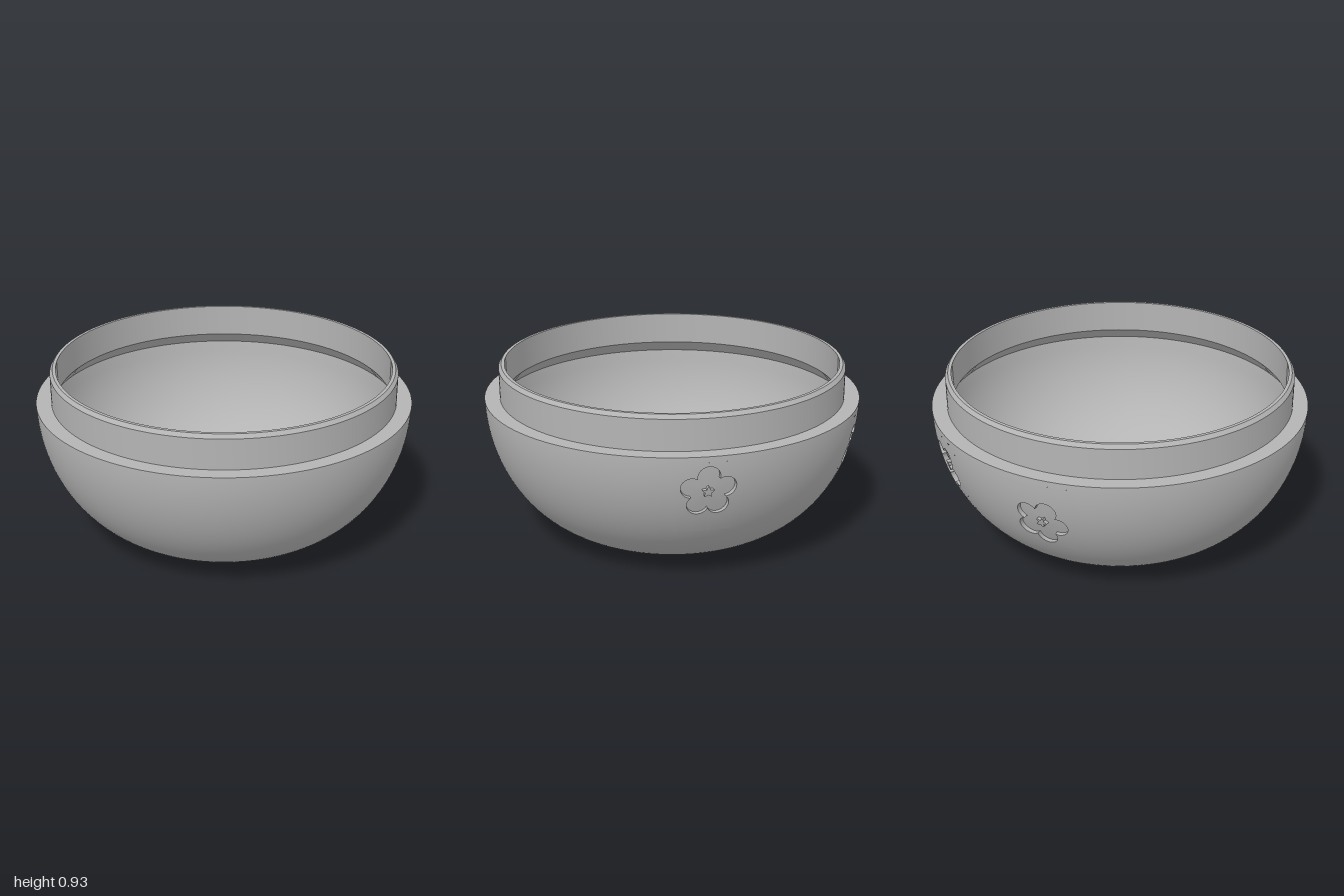
import * as THREE from 'three';
import { mergeGeometries, toCreasedNormals } from 'three/addons/utils/BufferGeometryUtils.js';

const RAD = Math.PI / 180;
const BAND_LOW = 0.32, BAND_HIGH = 0.72, HALF = 10; // engraved band and patch half-width in degrees

// Outer wall radius at a given height
const wallRadius = y => 0.36 + 0.64 * Math.sqrt(Math.max(0, 1 - ((0.75 - y) / 0.75) ** 2));
// Smooth hump: 1 in the middle, 0 at radius w
const hump = (r, w) => (r < w ? 0.5 + 0.5 * Math.cos(Math.PI * r / w) : 0);
const sample = (n, fn) => Array.from({ length: n + 1 }, (_, i) => new THREE.Vector2(...fn(i / n)));

function lathe(points, startDeg = 0, lengthDeg = 360) {
  const g = new THREE.LatheGeometry(points, lengthDeg / 2, startDeg * RAD, lengthDeg * RAD);
  g.deleteAttribute('uv');
  g.deleteAttribute('normal');
  return g;
}

// Five round petals as a polar outline
function petalOutline(phi, rot) {
  const step = 72 * RAD, d = 0.085, rho = 0.054;
  const t = phi - rot;
  const delta = t - Math.round(t / step) * step;
  return d * Math.cos(delta) + Math.sqrt(rho * rho - (d * Math.sin(delta)) ** 2);
}

// Five-pointed star as a polar outline
function starOutline(phi, rot) {
  const step = 72 * RAD, t = phi - rot;
  const delta = Math.abs(t - Math.round(t / step) * step);
  return 0.03 - 0.016 * delta / (step / 2);
}

// Wall patch with a sunken flower, built from rings around the flower centre
function flowerPatch({ deg, y: y0, rot }) {
  const depth = 0.025, r0 = wallRadius(y0), halfW = HALF * RAD * r0;
  const up = BAND_HIGH - y0, down = y0 - BAND_LOW, twoPi = Math.PI * 2;
  const phis = Array.from({ length: 120 }, (_, i) => rot + i * 3 * RAD);
  for (const [a, b] of [[halfW, up], [-halfW, up], [-halfW, -down], [halfW, -down]]) phis.push(Math.atan2(b, a));
  const angles = phis.map(p => ((p % twoPi) + twoPi) % twoPi).sort((a, b) => a - b)
    .filter((p, i, list) => i === 0 || p - list[i - 1] > 1e-5);
  const border = p => {
    const c = Math.cos(p), s = Math.sin(p);
    return Math.min(halfW / Math.max(Math.abs(c), 1e-9), (s > 0 ? up : down) / Math.max(Math.abs(s), 1e-9));
  };
  const star = p => starOutline(p, rot), petal = p => petalOutline(p, rot);
  const mix = (f, g, t) => p => f(p) * (1 - t) + g(p) * t;
  const rings = [
    [() => 0, 0.004], [star, 0.004], [star, depth], [mix(star, petal, 0.5), depth], [petal, depth], [petal, 0],
    ...[0.25, 0.5, 0.75, 1].map(t => [mix(petal, border, t), 0]),
  ];
  const positions = [], index = [], n = angles.length;
  rings.forEach(([outline, sink], i) => angles.forEach((p, j) => {
    const d = outline(p), y = y0 + d * Math.sin(p);
    const theta = deg * RAD + d * Math.cos(p) / r0, r = wallRadius(y) - sink;
    positions.push(r * Math.sin(theta), y, r * Math.cos(theta));
    if (i === rings.length - 1) return;
    const a = i * n + j, b = i * n + (j + 1) % n;
    index.push(a, a + n, b + n, a, b + n, b);
  }));
  const g = new THREE.BufferGeometry();
  g.setAttribute('position', new THREE.Float32BufferAttribute(positions, 3));
  g.setIndex(index);
  return g;
}

export function createModel() {
  const group = new THREE.Group();
  const grey = new THREE.MeshStandardMaterial({ color: 0xb4b4b4 });
  grey.name = 'grey';
  const add = (name, geometry) => {
    const mesh = new THREE.Mesh(geometry, grey);
    mesh.name = name;
    group.add(mesh);
    return mesh;
  };

  // Outer shell: dimpled base, curved lower wall, flower band, top edge
  const lowAngle = Math.acos((0.75 - BAND_LOW) / 0.75);
  const base = sample(16, t => [0.36 * t, 0.075 * hump(0.36 * t, 0.36)]);
  const lower = sample(20, t => [0.36 + 0.64 * Math.sin(lowAngle * t), 0.75 - 0.75 * Math.cos(lowAngle * t)]);
  const band = sample(16, t => {
    const y = BAND_LOW + (BAND_HIGH - BAND_LOW) * t;
    return [wallRadius(y), y];
  });
  const flowers = [
    { deg: 142, y: 0.56, rot: 90 * RAD },
    { deg: 206, y: 0.54, rot: 54 * RAD },
    { deg: 248, y: 0.485, rot: 66 * RAD },
  ];
  const shell = [
    lathe([...base, ...lower.slice(1)]),
    lathe(sample(2, t => [wallRadius(BAND_HIGH + 0.03 * t), BAND_HIGH + 0.03 * t])),
  ];
  flowers.forEach((f, i) => {
    const next = i < 2 ? flowers[i + 1].deg : flowers[0].deg + 360;
    shell.push(flowerPatch(f), lathe(band, f.deg + HALF, next - f.deg - 2 * HALF));
  });
  add('outerShell', toCreasedNormals(mergeGeometries(shell), 0.5));

  // Shoulder ledge and raised collar with a bevelled rim and undercut
  const collar = [[1, 0.75], [0.92, 0.75], [0.92, 0.91], [0.905, 0.93], [0.888, 0.93], [0.888, 0.755], [0.94, 0.69]]
    .map(p => new THREE.Vector2(...p));
  add('collar', toCreasedNormals(lathe(collar), 0.4));

  // Inside of the bowl, with a low crater-topped mound in the middle
  const innerTop = Math.acos(0.06 / 0.69);
  const innerWall = sample(30, t => {
    const a = innerTop * (1 - t);
    return [0.36 + 0.58 * Math.sin(a), 0.75 - 0.69 * Math.cos(a)];
  });
  innerWall[0].set(0.94, 0.69);
  const floor = sample(24, t => {
    const r = 0.36 * (1 - t);
    return [r, 0.06 + 0.09 * hump(r, 0.36) - 0.025 * hump(r, 0.12)];
  });
  add('interior', toCreasedNormals(lathe([...innerWall, ...floor.slice(1)]), 0.5));

  // Small star in the dimple under the bowl
  const starShape = new THREE.Shape(Array.from({ length: 10 }, (_, i) => {
    const r = i % 2 ? 0.035 : 0.11, a = (i * 36 - 55) * RAD;
    return new THREE.Vector2(r * Math.cos(a), r * Math.sin(a));
  }));
  const star = new THREE.ExtrudeGeometry(starShape, { depth: 0.03, bevelEnabled: false });
  star.rotateX(Math.PI / 2);
  add('baseStar', star).position.y = 0.085;

  return group;
}
